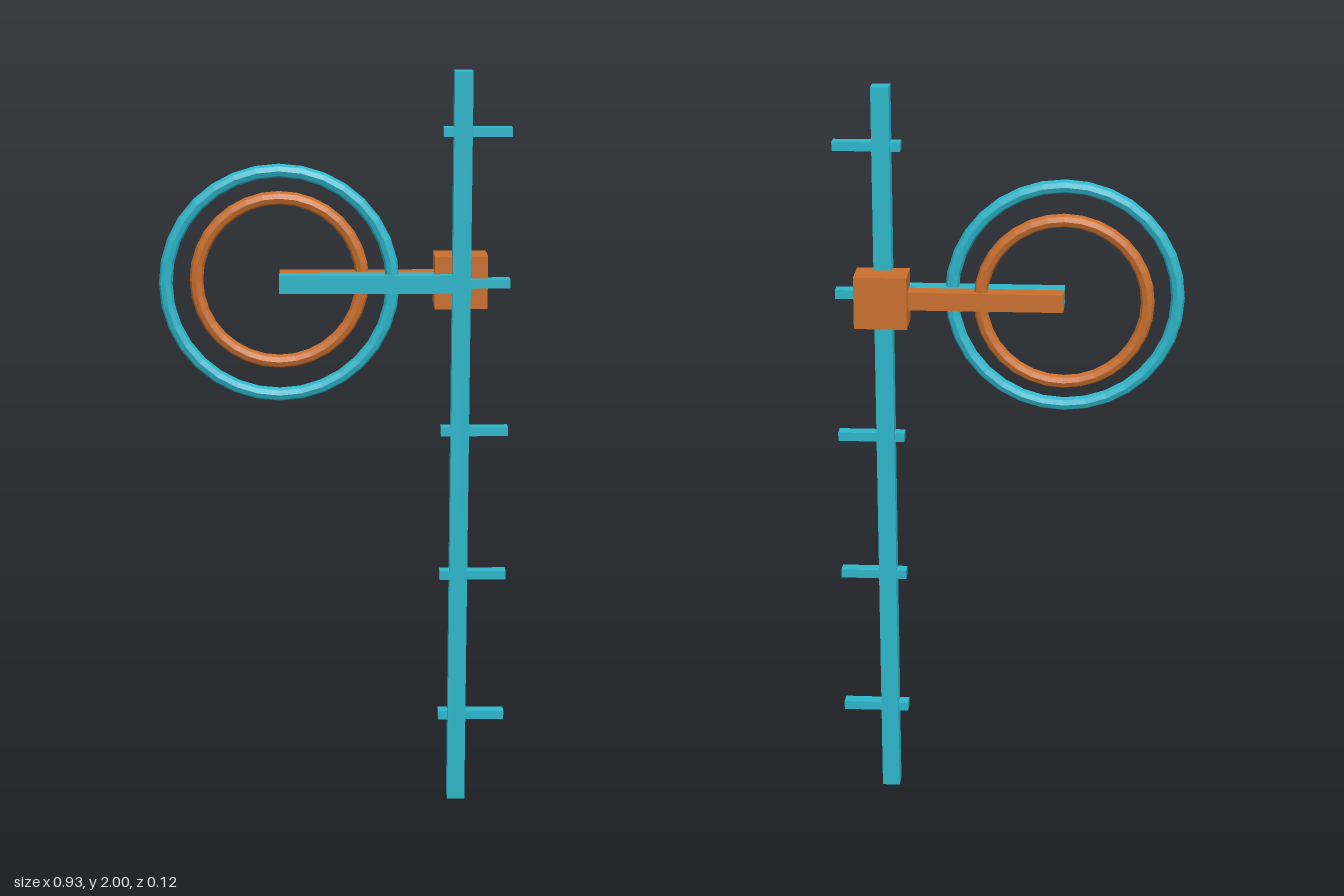
import * as THREE from 'three';

export function createModel() {
  const model = new THREE.Group();
  model.name = 'ringStand';

  const teal = new THREE.MeshStandardMaterial({ color: 0x2cb6ca, flatShading: true });
  teal.name = 'teal';
  const orange = new THREE.MeshStandardMaterial({ color: 0xc96f2d, flatShading: true });
  orange.name = 'orange';

  const add = (name, geometry, material, x, y, z) => {
    const mesh = new THREE.Mesh(geometry, material);
    mesh.name = name;
    mesh.position.set(x, y, z);
    model.add(mesh);
  };
  const box = (name, material, w, h, d, x, y, z) =>
    add(name, new THREE.BoxGeometry(w, h, d), material, x, y, z);
  const ring = (name, material, radius, x, y, z) =>
    add(name, new THREE.TorusGeometry(radius, 0.018, 8, 32), material, x, y, z);

  const postX = 0.333, ringX = -0.147, armY = 1.442;
  const frontZ = 0.035, backZ = -0.014;
  const armLength = postX - ringX, armX = (postX + ringX) / 2;

  // Upright post with evenly spaced pegs
  box('post', teal, 0.048, 2, 0.048, postX, 1, frontZ);
  for (let i = 0; i < 5; i++) {
    box('peg' + (i + 1), teal, 0.179, 0.024, 0.036, 0.372, 0.242 + i * 0.4, frontZ);
  }

  // Front arm and large ring
  box('frontArm', teal, armLength, 0.048, 0.048, armX, armY, frontZ);
  ring('largeRing', teal, 0.299, ringX, armY, frontZ);

  // Sliding block with the rear arm and small ring
  box('slidingBlock', orange, 0.14, 0.14, 0.1, postX, armY, -0.013);
  box('rearArm', orange, armLength, 0.048, 0.048, armX, armY, backZ);
  ring('smallRing', orange, 0.22, ringX, armY, backZ);

  return model;
}
